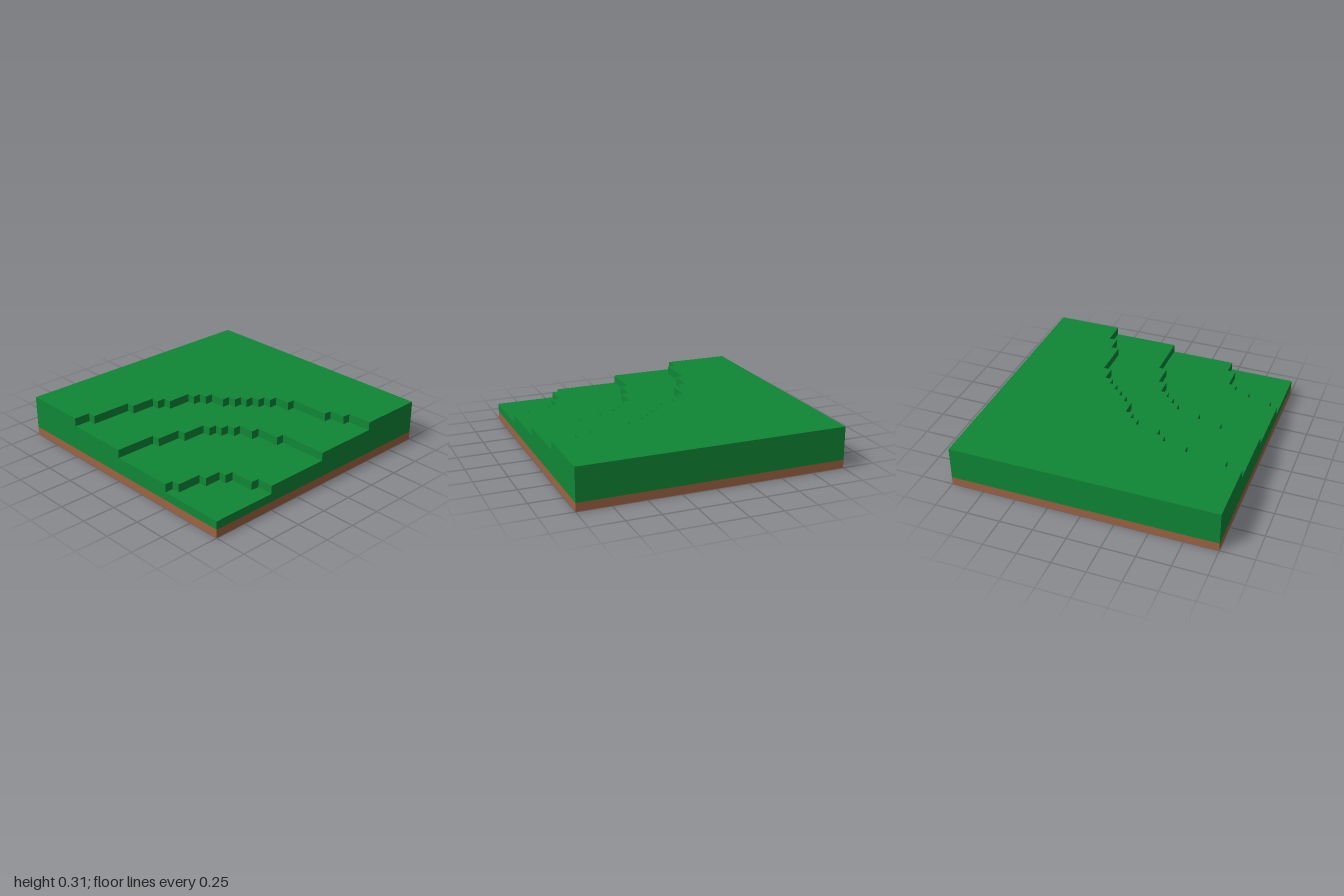
import * as THREE from 'three';

const U = 1 / 16; // one terrain cell; the tile is 32 x 32 cells

// Stepped front edge of each terrace: [x, z] = edge runs at z until x, in cells
const TERRACES = [
  { name: 'lowerTerrace', steps: [[-15, 8], [-12, 9], [-10, 10], [-9, 11], [-8, 14]] },
  { name: 'middleTerrace', steps: [[-11, 0], [-8, 1], [-5, 2], [-4, 3], [-3, 4], [-2, 5], [-1, 7], [0, 10]] },
  { name: 'upperTerrace', steps: [
    [-14, -8], [-9, -7], [-6, -6], [-5, -5], [-2, -4], [-1, -3], [0, -2], [1, 0],
    [2, 1], [3, 2], [4, 3], [5, 4], [6, 6], [7, 11], [8, 13]] },
];

// Terrace slab one cell thick, lying on the ground plane
function terraceGeometry(steps) {
  const pts = [];
  const add = (x, z) => pts.push(new THREE.Vector2(x * U, -z * U));
  let x = -16;
  for (const [nextX, z] of steps) {
    add(x, z);
    add(nextX, z);
    x = nextX;
  }
  add(x, 16);
  add(16, 16);
  add(16, -16);
  add(-16, -16);
  const geo = new THREE.ExtrudeGeometry(new THREE.Shape(pts), { depth: U, bevelEnabled: false });
  return geo.rotateX(-Math.PI / 2);
}

export function createModel() {
  const group = new THREE.Group();
  group.name = 'terracedHillTile';
  const grass = new THREE.MeshStandardMaterial({ color: 0x0f8735 });
  grass.name = 'grass green';
  const dirt = new THREE.MeshStandardMaterial({ color: 0xa06342 });
  dirt.name = 'dirt brown';

  const add = (name, geo, mat, y) => {
    const mesh = new THREE.Mesh(geo, mat);
    mesh.name = name;
    mesh.position.y = y;
    group.add(mesh);
  };

  // Flat ground layers
  add('dirtBase', new THREE.BoxGeometry(2, U, 2), dirt, U / 2);
  add('grassBase', new THREE.BoxGeometry(2, U, 2), grass, U * 1.5);

  // Terraces stacked one cell at a time
  TERRACES.forEach(({ name, steps }, i) => add(name, terraceGeometry(steps), grass, U * (i + 2)));

  return group;
}
